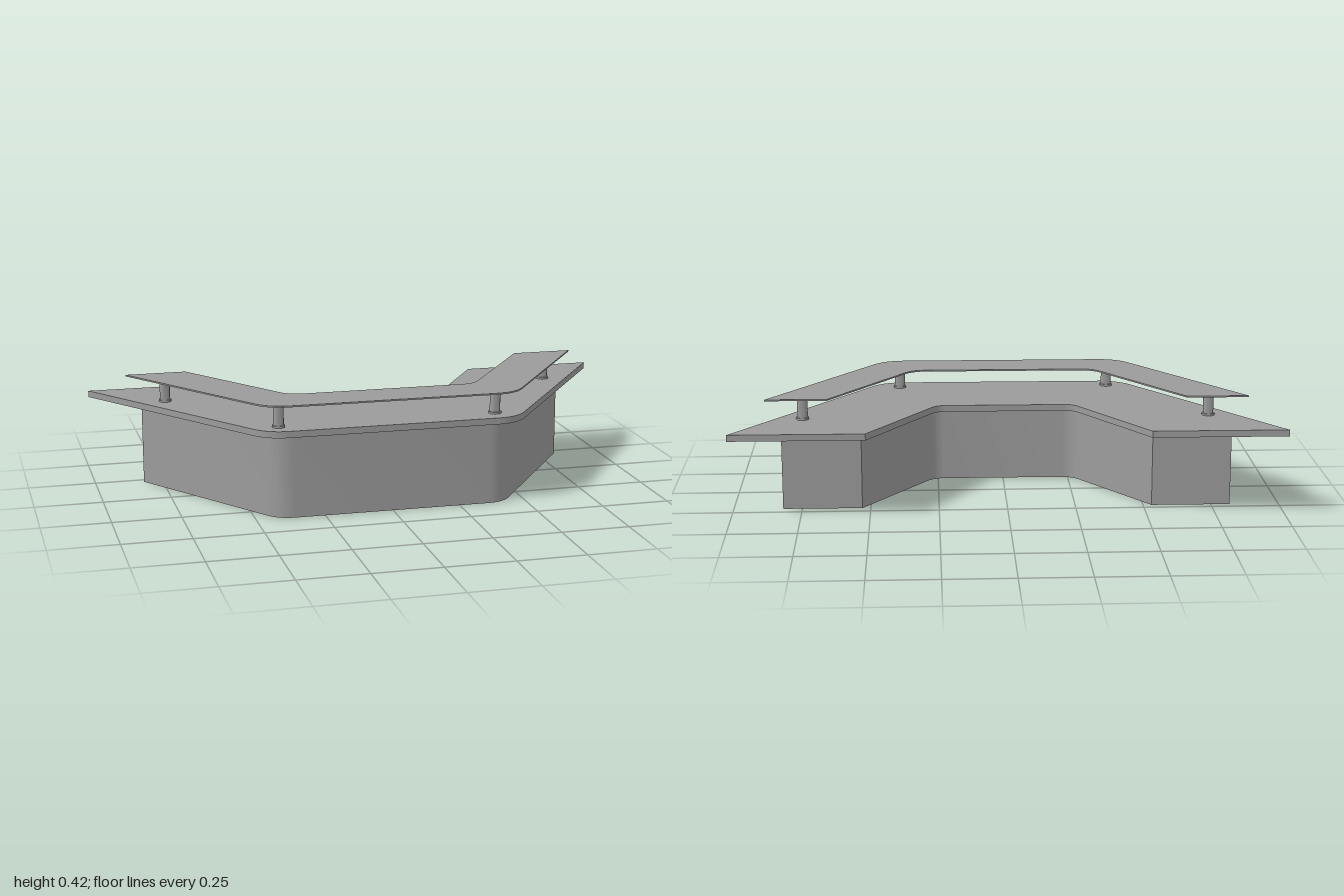
import * as THREE from 'three';
import { toCreasedNormals } from 'three/addons/utils/BufferGeometryUtils.js';

const material = new THREE.MeshStandardMaterial({ color: 0x9b9b9b });
const SKEW = 0.0075; // the plan is turned very slightly

// Slab with a mirrored U-shaped plan. half: plan points [x, z, corner rounding]
// of the left half, from the outer front corner round to the inner front corner.
function slab(name, half, y0, y1) {
  const mirrored = half.map(([x, z, r]) => [-x, z, r]).reverse();
  const pts = [...half, ...mirrored].map(([x, z, r]) => ({ p: new THREE.Vector2(x, -(z + SKEW * x)), r }));
  const shape = new THREE.Shape();
  pts.forEach(({ p, r }, i) => {
    const prev = pts[(i + pts.length - 1) % pts.length].p;
    const next = pts[(i + 1) % pts.length].p;
    const a = p.clone().add(prev.clone().sub(p).setLength(r));
    const b = p.clone().add(next.clone().sub(p).setLength(r));
    if (i === 0) shape.moveTo(a.x, a.y);
    else shape.lineTo(a.x, a.y);
    if (r > 0) shape.quadraticCurveTo(p.x, p.y, b.x, b.y);
  });
  shape.closePath();
  let geo = new THREE.ExtrudeGeometry(shape, { depth: y1 - y0, bevelEnabled: false, curveSegments: 10 });
  geo.rotateX(-Math.PI / 2);
  geo.translate(0, y0, 0);
  geo = toCreasedNormals(geo, 0.5);
  const mesh = new THREE.Mesh(geo, material);
  mesh.name = name;
  return mesh;
}

// Round post with a flange at each end
function post(name, x, z, y0, y1) {
  const h = y1 - y0, flange = 0.0235, shaft = 0.019, t = 0.007;
  const profile = [
    [0, 0], [flange, 0], [flange, t], [shaft, t],
    [shaft, h - t], [flange, h - t], [flange, h], [0, h],
  ].map(([r, y]) => new THREE.Vector2(r, y));
  const geo = toCreasedNormals(new THREE.LatheGeometry(profile, 24), 0.6);
  const mesh = new THREE.Mesh(geo, material);
  mesh.name = name;
  mesh.position.set(x, y0, z);
  return mesh;
}

export function createModel() {
  const desk = new THREE.Group();
  desk.name = 'receptionDesk';

  // Recessed body
  desk.add(slab('deskBody', [
    [0.418, 0.358, 0.06], [0.82, -0.217, 0], [0.531, -0.217, 0], [0.266, 0.157, 0.045],
  ], 0, 0.302));

  // Wide worktop
  desk.add(slab('worktop', [
    [0.458, 0.385, 0.075], [1, -0.383, 0], [0.51, -0.383, 0], [0.255, 0.012, 0.035],
  ], 0.302, 0.326));

  // Thin raised shelf along the front edge
  desk.add(slab('raisedShelf', [
    [0.452, 0.376, 0.075], [0.875, -0.233, 0], [0.65, -0.233, 0], [0.345, 0.211, 0.05],
  ], 0.41, 0.4155));

  // Shelf supports
  [[-0.74, -0.16], [-0.408, 0.312], [0.394, 0.312], [0.743, -0.16]].forEach(([x, z], i) => {
    desk.add(post('shelfPost' + (i + 1), x, z, 0.326, 0.41));
  });

  return desk;
}
